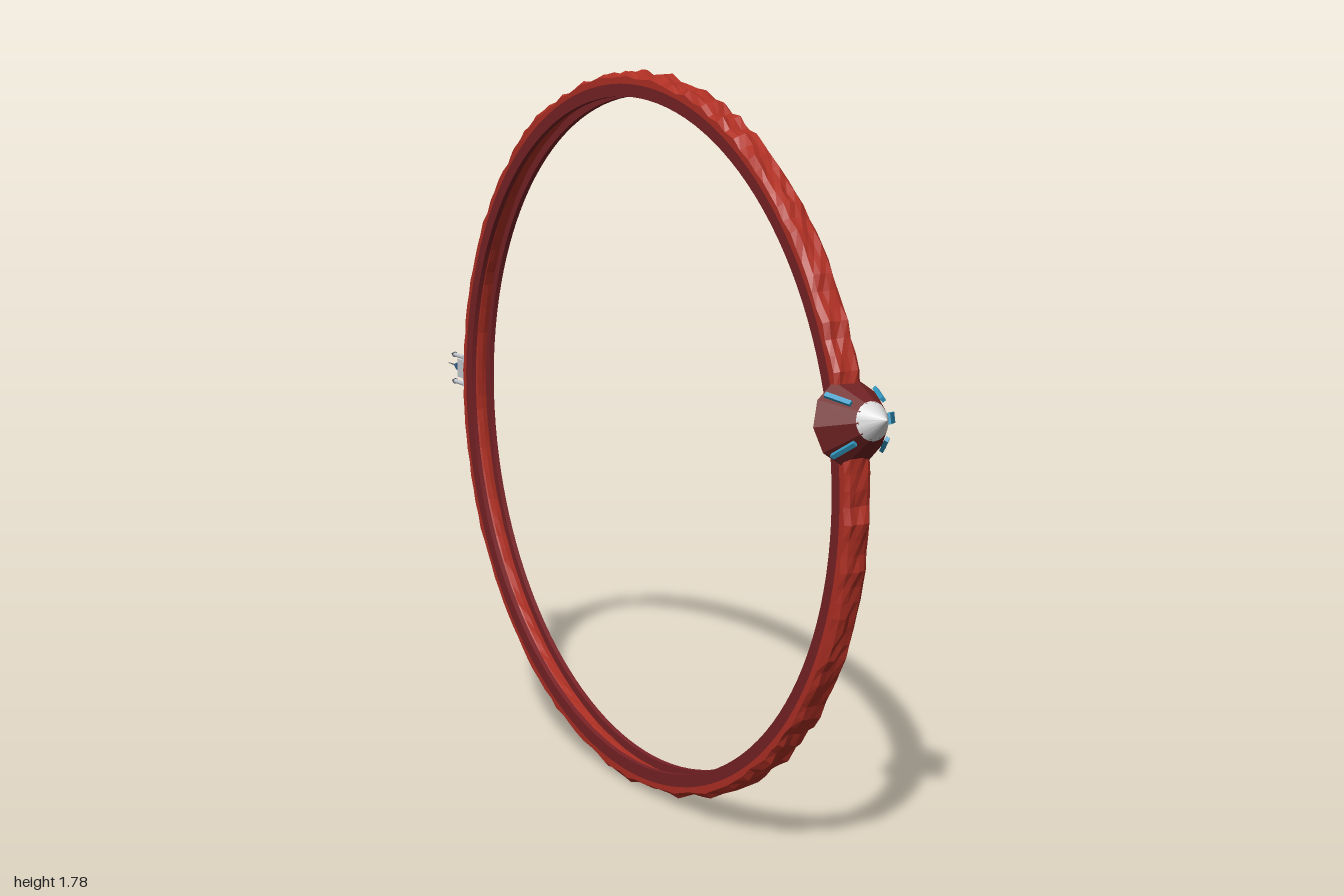
import * as THREE from 'three';
import { toCreasedNormals } from 'three/addons/utils/BufferGeometryUtils.js';

const material = (name, color, extra = {}) => {
  const m = new THREE.MeshStandardMaterial({ color, ...extra });
  m.name = name;
  return m;
};

export function createModel() {
  const terrainRed = material('terrain red', 0xb03024, { flatShading: true, side: THREE.DoubleSide });
  const wallRed = material('wall dark red', 0x782226, { side: THREE.DoubleSide });
  const rockRed = material('mountain dark red', 0x702222, { flatShading: true });
  const snow = material('snow white', 0xd8d8d8);
  const water = material('water blue', 0x3399c2);
  const metal = material('pale metal', 0xc9ced4);
  const darkMetal = material('dark metal', 0x50565e);
  const navy = material('spire blue', 0x35608f);

  const add = (parent, name, geometry, mat, x = 0, y = 0, z = 0) => {
    const mesh = new THREE.Mesh(geometry, mat);
    mesh.name = name;
    mesh.position.set(x, y, z);
    parent.add(mesh);
    return mesh;
  };

  // Seeded random numbers for the rough ground
  let seed = 7;
  const random = () => {
    seed = (seed * 16807) % 2147483647;
    return seed / 2147483647;
  };

  const model = new THREE.Group();
  const ring = new THREE.Group();
  ring.name = 'ring';
  ring.position.set(-0.012, 0.895, 0.0245);
  model.add(ring);

  // Revolve a [radius, x] profile about the x axis
  const revolve = (profile, segments) =>
    new THREE.LatheGeometry(profile.map(([r, w]) => new THREE.Vector2(r, w)), segments).rotateZ(-Math.PI / 2);

  // Smooth hoop: two side walls joined by a floor, open to the inside
  const hoop = [
    [0.862, -0.034], [0.862, 0.034], [0.826, 0.034], [0.826, 0.021], [0.85, 0.021],
    [0.85, -0.021], [0.826, -0.021], [0.826, -0.034], [0.862, -0.034],
  ];
  add(ring, 'hoopWalls', toCreasedNormals(revolve(hoop, 128), 0.6), wallRed);

  // Rough band: displace a revolved profile radially
  const roughBand = (profile, segments, amounts) => {
    const geometry = revolve(profile, segments);
    const p = geometry.attributes.position;
    const n = profile.length;
    const ridge = Array.from({ length: segments }, random);
    const bumps = Array.from({ length: segments * n }, random);
    for (let i = 0; i <= segments; i++) {
      const k = i % segments;
      for (let j = 0; j < n; j++) {
        const v = i * n + j;
        const push = amounts[j] * (0.55 * ridge[k] + 0.45 * bumps[k * n + j]);
        const r = Math.hypot(p.getY(v), p.getZ(v));
        const s = (r + push) / r;
        p.setXYZ(v, p.getX(v), p.getY(v) * s, p.getZ(v) * s);
      }
    }
    geometry.computeVertexNormals();
    return geometry;
  };
  add(ring, 'outerTerrain', roughBand(
    [[0.856, -0.035], [0.865, -0.035], [0.87, -0.024], [0.87, -0.008], [0.87, 0.008], [0.87, 0.024], [0.865, 0.035], [0.856, 0.035]],
    150, [0, 0.012, 0.021, 0.021, 0.021, 0.021, 0.012, 0]), terrainRed);
  add(ring, 'innerGround', roughBand(
    [[0.845, -0.021], [0.84, -0.007], [0.84, 0.007], [0.845, 0.021]],
    150, [0.003, 0.006, 0.006, 0.003]), terrainRed);

  // Mountain: faceted cone with a snow cap, standing radially on the hoop
  const tilt = THREE.MathUtils.degToRad(78);
  const mountain = new THREE.Group();
  mountain.name = 'mountain';
  mountain.rotation.x = tilt;
  mountain.position.set(0, Math.cos(tilt) * 0.86, Math.sin(tilt) * 0.86);
  ring.add(mountain);
  add(mountain, 'mountainBody', new THREE.CylinderGeometry(0.04, 0.097, 0.085, 10, 1, false, Math.PI / 2), rockRed, 0, 0.0425, 0);
  add(mountain, 'snowCap', toCreasedNormals(new THREE.ConeGeometry(0.043, 0.053, 18), 0.8), snow, 0, 0.1075, 0);

  // Waterfalls running down the slope: one broad, four narrow
  const waterfall = (angle, width, length, r, h, lean) => {
    const arm = new THREE.Group();
    arm.name = 'waterfall';
    arm.rotation.y = angle;
    mountain.add(arm);
    add(arm, 'waterStrip', new THREE.BoxGeometry(0.009, length, width), water, r, h, 0).rotation.z = lean;
  };
  waterfall(0, 0.024, 0.085, 0.085, 0.033, 0.75);
  for (const quarter of [1, 3, 5, 7]) waterfall(quarter * Math.PI / 4, 0.011, 0.065, 0.077, 0.042, 0.56);

  // Spaceport on the back of the hoop, pointing outward
  const port = new THREE.Group();
  port.name = 'spaceport';
  port.rotation.x = -Math.PI / 2;
  port.position.set(0, 0.03, -0.8695);
  ring.add(port);
  add(port, 'portBase', new THREE.BoxGeometry(0.056, 0.022, 0.086), metal, 0, 0.009, 0);
  add(port, 'portTower', new THREE.BoxGeometry(0.034, 0.054, 0.05), metal, 0, 0.045, 0);
  for (const x of [-1, 1]) {
    for (const z of [-1, 1]) {
      const px = x * 0.022, pz = z * 0.037;
      add(port, 'cornerTower', new THREE.CylinderGeometry(0.006, 0.006, 0.065, 8), metal, px, 0.045, pz);
      add(port, 'cornerTowerTip', new THREE.ConeGeometry(0.008, 0.022, 8), darkMetal, px, 0.086, pz);
    }
  }
  add(port, 'spireStem', new THREE.CylinderGeometry(0.006, 0.006, 0.03, 8), darkMetal, 0, 0.083, 0);
  add(port, 'spireCone', new THREE.ConeGeometry(0.013, 0.032, 8), navy, 0, 0.11, 0);
  add(port, 'spireNeedle', new THREE.CylinderGeometry(0.0012, 0.0018, 0.04, 6), darkMetal, 0, 0.135, 0);

  return model;
}
